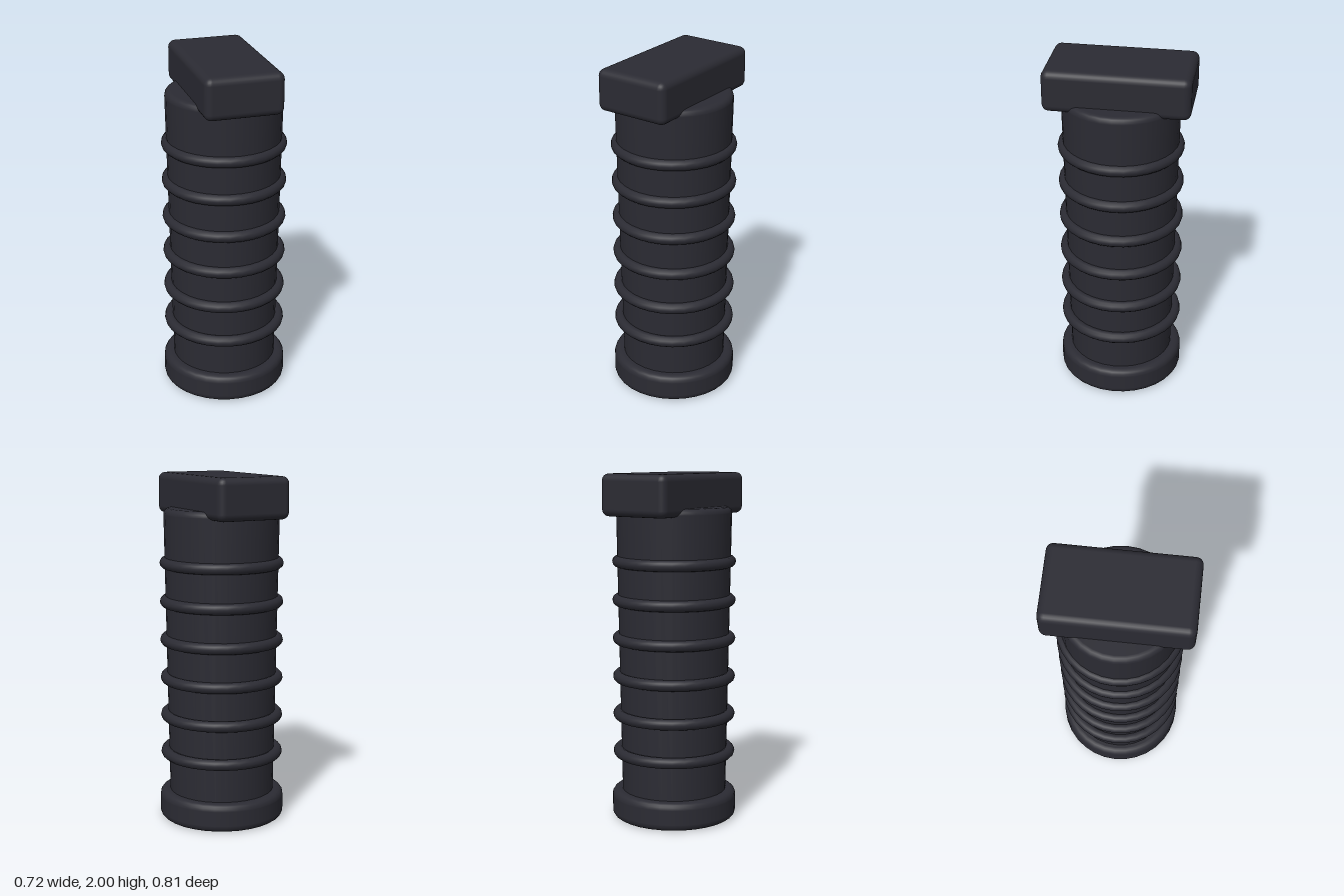
import * as THREE from 'three';
import { RoundedBoxGeometry } from 'three/addons/geometries/RoundedBoxGeometry.js';

const SIDES = 32;

// Solid of revolution with rounded rims; the points just inside each rim keep flat areas flat
function roundedDrum(bottomRadius, topRadius, y0, y1, bevel) {
  const points = [new THREE.Vector2(0, y0), new THREE.Vector2(bottomRadius - bevel - 0.004, y0)];
  const steps = 4;
  for (let i = 0; i <= steps; i++) {
    const a = (i / steps) * Math.PI / 2;
    points.push(new THREE.Vector2(
      bottomRadius - bevel + Math.sin(a) * bevel, y0 + bevel - Math.cos(a) * bevel));
  }
  points.push(new THREE.Vector2(bottomRadius, y0 + bevel + 0.004));
  points.push(new THREE.Vector2(topRadius, y1 - bevel - 0.004));
  for (let i = 0; i <= steps; i++) {
    const a = (i / steps) * Math.PI / 2;
    points.push(new THREE.Vector2(
      topRadius - bevel + Math.cos(a) * bevel, y1 - bevel + Math.sin(a) * bevel));
  }
  points.push(new THREE.Vector2(topRadius - bevel - 0.004, y1), new THREE.Vector2(0, y1));
  return new THREE.LatheGeometry(points, SIDES);
}

export function createModel() {
  const model = new THREE.Group();
  model.name = 'verticalGrip';
  const polymer = new THREE.MeshStandardMaterial({ color: 0x2b2b33 });
  polymer.name = 'darkPolymer';

  function add(name, geometry, y = 0) {
    const mesh = new THREE.Mesh(geometry, polymer);
    mesh.name = name;
    mesh.position.y = y;
    model.add(mesh);
    return mesh;
  }

  // Mounting block on top, long from front to back
  add('mountBlock', new RoundedBoxGeometry(0.44, 0.235, 0.806, 3, 0.04), 1.8825);

  // Slightly tapered handle
  add('handle', roundedDrum(0.302, 0.33, 0.05, 1.81, 0.03));

  // Raised grip rings
  for (let i = 0; i < 6; i++) {
    const ring = add('gripRing' + (i + 1), new THREE.TorusGeometry(0.323, 0.032, 12, SIDES), 0.39 + i * 0.2222);
    ring.rotation.x = Math.PI / 2;
  }

  // Wider end cap
  add('endCap', roundedDrum(0.362, 0.362, 0, 0.163, 0.035));

  return model;
}
